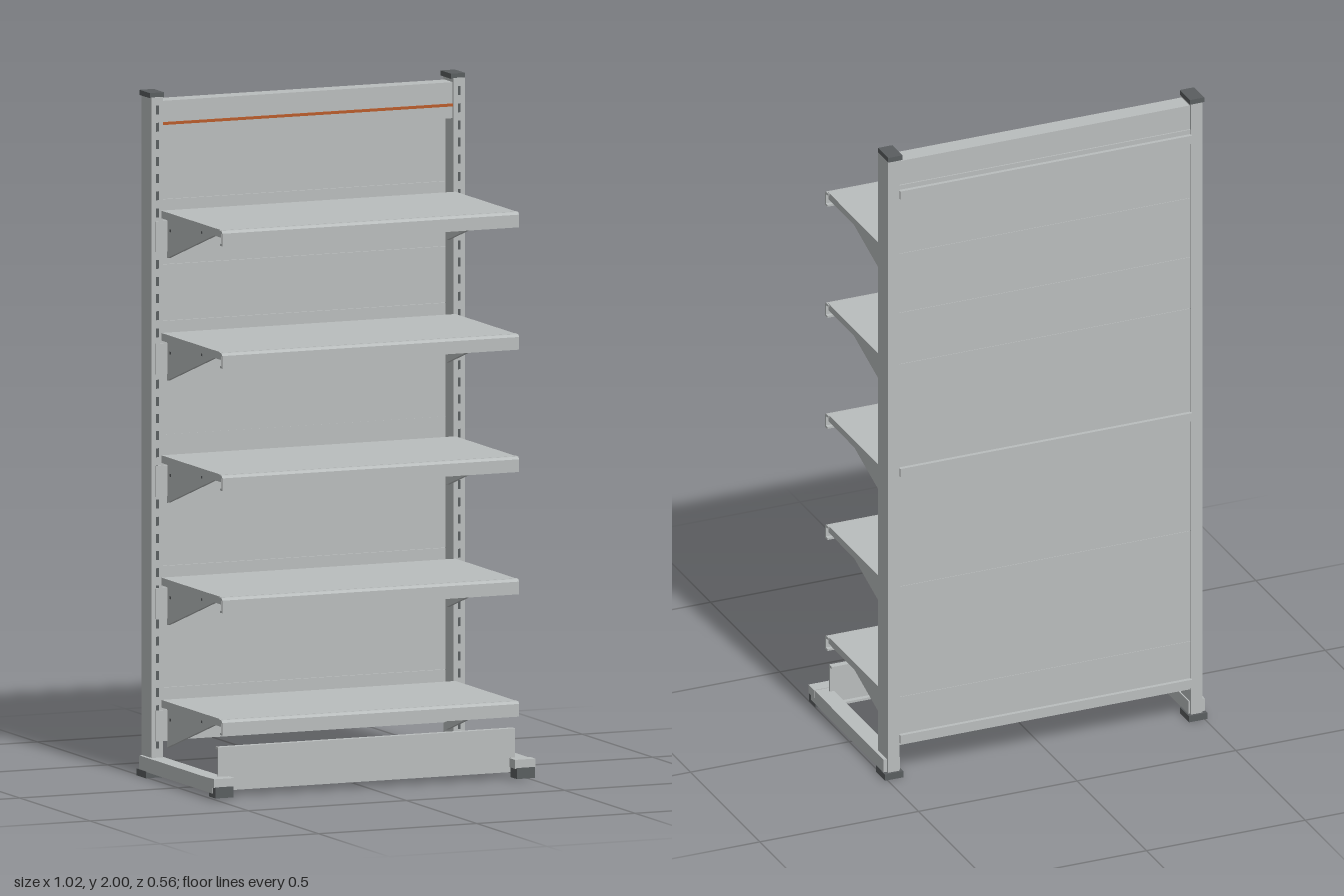
import * as THREE from 'three';

export function createModel() {
  const model = new THREE.Group();
  model.name = 'storeShelving';
  const mat = (name, color) => {
    const m = new THREE.MeshStandardMaterial({ color });
    m.name = name;
    return m;
  };
  const grey = mat('light grey paint', 0xb9bdbd);
  const dark = mat('dark grey plastic', 0x5a5e60);
  const orange = mat('orange trim', 0xb85c2c);

  const add = (name, geo, m, parent = model) => {
    const mesh = new THREE.Mesh(geo, m);
    mesh.name = name;
    parent.add(mesh);
    return mesh;
  };
  // Box given by its limits on each axis
  const box = (name, x0, x1, y0, y1, z0, z1, m = grey, parent = model) => {
    const geo = new THREE.BoxGeometry(x1 - x0, y1 - y0, z1 - z0);
    geo.translate((x0 + x1) / 2, (y0 + y1) / 2, (z0 + z1) / 2);
    return add(name, geo, m, parent);
  };
  // Profile of [z, y] points swept along x, centred on cx
  const sweep = (name, pts, width, cx, m = grey, parent = model) => {
    const shape = new THREE.Shape(pts.map(p => new THREE.Vector2(p[0], p[1])));
    const geo = new THREE.ExtrudeGeometry(shape, { depth: width, bevelEnabled: false });
    geo.translate(0, 0, -width / 2);
    geo.rotateY(-Math.PI / 2);
    geo.translate(cx, 0, 0);
    return add(name, geo, m, parent);
  };
  // Box on one side of the model, mirrored by s
  const sideBox = (s, name, x0, x1, ...rest) =>
    s > 0 ? box(name, x0, x1, ...rest) : box(name, -x1, -x0, ...rest);

  for (const s of [1, -1]) {
    const side = new THREE.Group();
    side.name = s > 0 ? 'leftUpright' : 'rightUpright';
    model.add(side);
    // Post with its cap
    sideBox(s, 'post', 0.459, 0.495, 0.02, 1.987, -0.27, -0.198, grey, side);
    sideBox(s, 'postCap', 0.453, 0.498, 1.985, 2, -0.277, -0.204, dark, side);
    // Column of slots on the front of the post
    for (let i = 0; i < 38; i++) {
      const y = 0.1 + i * 0.05;
      sideBox(s, 'slot', 0.473, 0.481, y - 0.013, y + 0.013, -0.199, -0.197, dark, side);
    }
    // Base leg with front block and plastic feet
    sideBox(s, 'baseLeg', 0.455, 0.506, 0.018, 0.06, -0.262, 0.26, grey, side);
    sideBox(s, 'legFront', 0.443, 0.508, 0.036, 0.062, 0.235, 0.275, grey, side);
    sideBox(s, 'frontFoot', 0.448, 0.505, 0.006, 0.038, 0.232, 0.277, dark, side);
    sideBox(s, 'rearFoot', 0.45, 0.508, 0, 0.02, -0.277, -0.21, dark, side);
  }

  // Back panels, stacked with narrow seams
  const seams = [0.1, 0.255, 0.61, 0.99, 1.325, 1.49, 1.68, 1.9];
  for (let i = 0; i < seams.length - 1; i++) {
    box('backPanel', -0.46, 0.46, seams[i], seams[i + 1] - 0.001, -0.266, -0.256);
  }
  // Horizontal rails on the back
  for (const y of [0.123, 0.98, 1.872]) {
    box('backRail', -0.46, 0.46, y - 0.013, y + 0.013, -0.278, -0.255);
  }

  // Header: folded sheet with a trim strip
  sweep('header', [
    [-0.204, 1.87], [-0.204, 1.975], [-0.262, 1.975], [-0.262, 1.89],
    [-0.256, 1.89], [-0.256, 1.967], [-0.212, 1.967], [-0.212, 1.878],
    [-0.25, 1.878], [-0.25, 1.87],
  ], 0.925, 0);
  box('trimStrip', -0.458, 0.458, 1.905, 1.913, -0.205, -0.199, orange);

  // Shelves with folded edges, price rail and two brackets
  for (let i = 0; i < 5; i++) {
    const shelf = new THREE.Group();
    shelf.name = 'shelf' + (i + 1);
    shelf.position.y = 0.228 + i * 0.357;
    model.add(shelf);
    box('shelfTop', -0.465, 0.465, -0.005, 0, -0.197, 0.232, grey, shelf);
    box('rearFlange', -0.46, 0.46, -0.022, -0.004, -0.197, -0.191, grey, shelf);
    sweep('frontLip', [
      [0.222, 0], [0.24, -0.001], [0.246, -0.008], [0.246, -0.045], [0.228, -0.045],
      [0.228, -0.039], [0.24, -0.039], [0.24, -0.01], [0.222, -0.006],
    ], 0.938, 0, grey, shelf);
    for (const s of [1, -1]) {
      sideBox(s, 'sideFlange', 0.46, 0.465, -0.022, -0.004, -0.197, 0.228, grey, shelf);
      sweep('bracket', [
        [0.17, -0.018], [0.17, -0.005], [-0.198, -0.005], [-0.198, -0.14], [-0.18, -0.134],
      ], 0.01, s * 0.441, grey, shelf);
      // Hook joining the bracket to the post
      sideBox(s, 'hook', 0.436, 0.484, -0.12, -0.03, -0.2, -0.194, grey, shelf);
      // Bracket holes
      for (const [z, y] of [[0.047, -0.032], [-0.175, -0.057]]) {
        sideBox(s, 'bracketHole', 0.4355, 0.4465, y - 0.004, y + 0.004, z - 0.005, z + 0.005, dark, shelf);
      }
    }
  }

  // Folded kick plate between the legs
  sweep('kickPlate', [
    [0.217, 0.018], [0.217, 0.145], [0.197, 0.145], [0.197, 0.138],
    [0.211, 0.138], [0.211, 0.025], [0.197, 0.025], [0.197, 0.018],
  ], 0.938, 0);

  return model;
}
